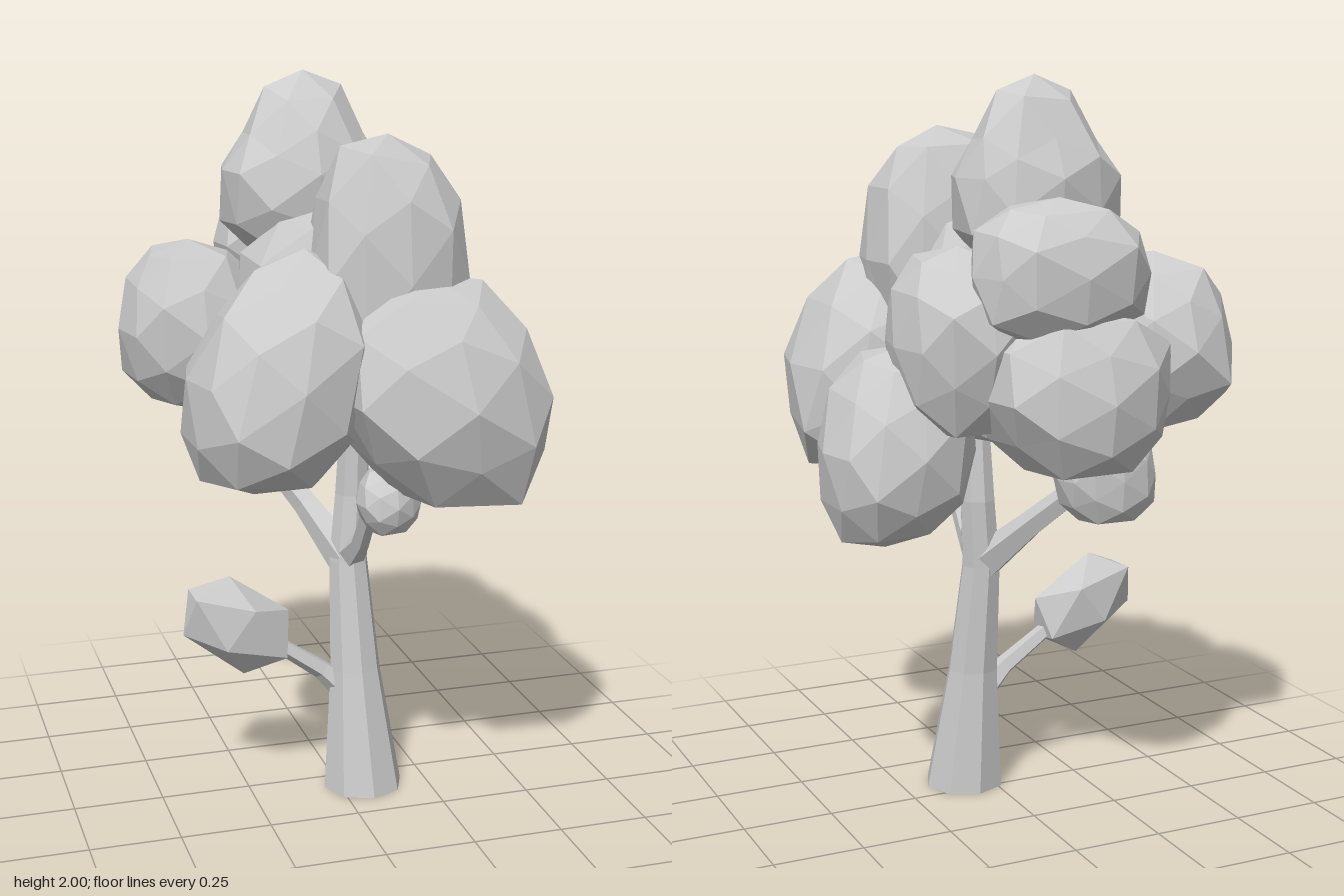
import * as THREE from 'three';

const material = new THREE.MeshStandardMaterial({ color: 0xcccccc, flatShading: true, side: THREE.DoubleSide });

// Repeatable value in -1..1 for a point and a seed
function noise(x, y, z, seed) {
  const s = Math.sin(Math.round(x * 100) * 12.99 + Math.round(y * 100) * 78.23 + Math.round(z * 100) * 37.72 + seed * 9.17) * 4375.85;
  return (s - Math.floor(s)) * 2 - 1;
}

const power = (v, e) => Math.sign(v) * Math.abs(v) ** e;

// Faceted leaf clump: an uneven, slightly boxy ellipsoid.
// taper narrows the top, leanX shifts it sideways, peak sharpens it.
function clump(name, center, radii, seed, { taper = 0, leanX = 0, peak = 0.87, tilt = 0, detail = 1 } = {}) {
  const geometry = new THREE.IcosahedronGeometry(1, detail);
  const p = geometry.attributes.position;
  for (let i = 0; i < p.count; i++) {
    const x = p.getX(i), y = p.getY(i), z = p.getZ(i);
    const onAxis = Math.max(Math.abs(x), Math.abs(y), Math.abs(z)) > 0.99;
    const k = onAxis ? 1 : 1 + 0.08 * noise(x, y, z, seed);
    const w = k * (1 - taper * y);
    const h = k * power(y, y > 0 ? peak : 0.87);
    p.setXYZ(i, power(x, 0.87) * w * radii[0] + leanX * h, h * radii[1], power(z, 0.87) * w * radii[2]);
  }
  geometry.computeVertexNormals();
  const mesh = new THREE.Mesh(geometry, material);
  mesh.name = name;
  mesh.position.set(...center);
  mesh.rotation.z = tilt;
  return mesh;
}

// Open faceted limb through rings given as [x, y, z, radius]
function limb(name, rings, sides, axis) {
  const first = new THREE.Vector3(...rings[0]);
  const last = new THREE.Vector3(...rings[rings.length - 1]);
  const t = axis || last.sub(first).normalize();
  const u = new THREE.Vector3(0, 0, 1).cross(t).normalize();
  const v = t.clone().cross(u);
  const positions = [], index = [];
  rings.forEach(([x, y, z, r], i) => {
    for (let j = 0; j < sides; j++) {
      const a = (j / sides) * Math.PI * 2;
      const q = new THREE.Vector3(x, y, z).addScaledVector(u, r * Math.cos(a)).addScaledVector(v, r * Math.sin(a));
      positions.push(q.x, q.y, q.z);
      if (i > 0) {
        const a0 = (i - 1) * sides + j, b0 = (i - 1) * sides + ((j + 1) % sides);
        index.push(a0, b0, b0 + sides, a0, b0 + sides, a0 + sides);
      }
    }
  });
  const geometry = new THREE.BufferGeometry();
  geometry.setAttribute('position', new THREE.Float32BufferAttribute(positions, 3));
  geometry.setIndex(index);
  geometry.computeVertexNormals();
  const mesh = new THREE.Mesh(geometry, material);
  mesh.name = name;
  return mesh;
}

export function createModel() {
  const tree = new THREE.Group();
  tree.name = 'tree';

  // Trunk, flared at the foot and leaning slightly back
  tree.add(limb('trunk', [
    [0.07, 0, 0.065, 0.113], [0.055, 0.35, 0.035, 0.072],
    [0.045, 0.66, 0, 0.055], [0.06, 0.85, -0.01, 0.05], [0.06, 1.05, 0, 0.04],
  ], 8, new THREE.Vector3(0, 1, 0)));

  // Branches
  tree.add(
    limb('lowBranch', [[0.04, 0.27, 0.03, 0.045], [-0.04, 0.345, 0.025, 0.028], [-0.19, 0.45, 0.02, 0.022]], 5),
    limb('frontBranch', [[0.045, 0.66, 0, 0.045], [0.05, 0.74, 0.1, 0.026], [0.05, 0.92, 0.23, 0.022]], 5),
    limb('backBranch', [[0.04, 0.66, 0, 0.055], [-0.04, 0.79, -0.13, 0.038], [-0.16, 0.96, -0.3, 0.03]], 5),
  );

  // Crown of overlapping clumps
  const crown = new THREE.Group();
  crown.name = 'crown';
  crown.add(
    clump('frontLeftClump', [0.2, 1.21, 0.31], [0.285, 0.31, 0.28], 1, { taper: 0.1, leanX: -0.05 }),
    clump('frontRightClump', [-0.21, 1.26, 0.22], [0.245, 0.32, 0.26], 2, { taper: 0.15, leanX: 0.07, peak: 1 }),
    clump('upperFrontClump', [0.09, 1.5, 0.19], [0.21, 0.36, 0.21], 3),
    clump('topClump', [-0.04, 1.74, -0.15], [0.225, 0.26, 0.18], 4, { taper: 0.25, peak: 1.4 }),
    clump('upperBackClump', [0, 1.51, -0.38], [0.24, 0.19, 0.17], 5),
    clump('backClump', [-0.05, 1.2, -0.38], [0.26, 0.22, 0.22], 6),
    clump('backRightClump', [-0.34, 1.3, -0.26], [0.2, 0.24, 0.24], 7),
    clump('leftClump', [0.34, 1.04, -0.1], [0.2, 0.27, 0.22], 8, { taper: 0.06, leanX: -0.03 }),
    clump('upperLeftClump', [0.2, 1.32, -0.2], [0.18, 0.25, 0.24], 9),
    clump('coreClump', [0, 1.33, 0], [0.26, 0.33, 0.26], 10),
    clump('lowerBackClump', [-0.13, 0.98, -0.4], [0.14, 0.13, 0.1], 11),
    clump('lowerFrontClump', [0.07, 0.91, 0.28], [0.09, 0.09, 0.09], 12),
  );
  tree.add(crown);

  // Small tilted clump on the low branch
  tree.add(clump('lowBranchClump', [-0.285, 0.51, 0.02], [0.18, 0.12, 0.085], 14, { tilt: -0.65, detail: 0 }));

  return tree;
}
